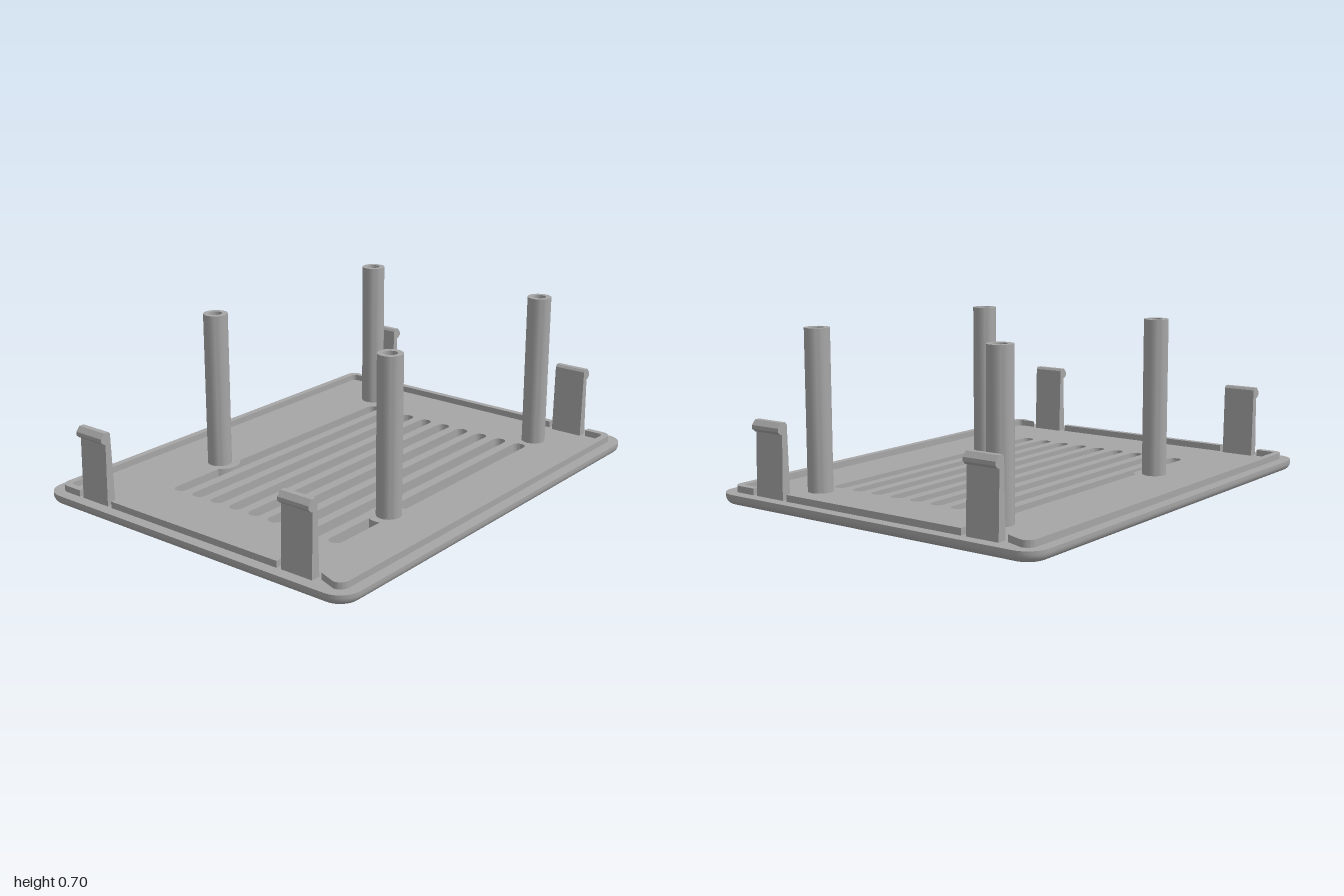
import * as THREE from 'three';
import { toCreasedNormals } from 'three/addons/utils/BufferGeometryUtils.js';

const W = 1, D = 0.778, TOP = 0.045, FILLET = 0.033, CORNER = 0.09;

const plastic = new THREE.MeshStandardMaterial({ color: 0xa6a6a6 });
plastic.name = 'grey plastic';

function part(name, geometry, parent) {
  const mesh = new THREE.Mesh(toCreasedNormals(geometry, 0.6), plastic);
  mesh.name = name;
  parent.add(mesh);
  return mesh;
}

// Counter-clockwise rounded rectangle outline
function roundedLoop(hw, hd, r, steps = 8) {
  const points = [];
  [[1, 1], [-1, 1], [-1, -1], [1, -1]].forEach(([sx, sy], q) => {
    for (let i = 0; i <= steps; i++) {
      const a = (q + i / steps) * Math.PI / 2;
      points.push(new THREE.Vector2(sx * (hw - r) + r * Math.cos(a), sy * (hd - r) + r * Math.sin(a)));
    }
  });
  return points;
}

// Extrude a plan outline (x, -z) upward from y0 to y1
function slab(shape, y0, y1) {
  return new THREE.ExtrudeGeometry(shape, { depth: y1 - y0, bevelEnabled: false, curveSegments: 10 })
    .rotateX(-Math.PI / 2).translate(0, y0, 0);
}

// Plate border with a rounded lower edge
function rimGeometry() {
  const profile = [];
  for (let i = 0; i <= 6; i++) {
    const a = (i / 6) * Math.PI / 2;
    profile.push([FILLET * (1 - Math.sin(a)), FILLET * (1 - Math.cos(a))]);
  }
  profile.push([0, TOP], [FILLET, TOP]);
  const positions = [], index = [];
  let n = 0;
  for (const [inset, y] of profile) {
    const loop = roundedLoop(W - inset, D - inset, CORNER - inset);
    n = loop.length;
    for (const p of loop) positions.push(p.x, y, -p.y);
  }
  for (let k = 0; k < profile.length - 1; k++) {
    for (let i = 0; i < n; i++) {
      const j = (i + 1) % n;
      const a = k * n + i, b = k * n + j, c = b + n, d = a + n;
      index.push(a, b, c, a, c, d);
    }
  }
  const g = new THREE.BufferGeometry();
  g.setAttribute('position', new THREE.Float32BufferAttribute(positions, 3));
  g.setIndex(index);
  return g;
}

// Flat panel with a row of long round-ended slots
function panelGeometry() {
  const shape = new THREE.Shape(roundedLoop(W - FILLET, D - FILLET, CORNER - FILLET));
  const r = 0.029, x0 = -0.665 + r, x1 = 0.66 - r;
  for (let i = 0; i < 9; i++) {
    const y = 0.36 - i * 0.101;
    const slot = new THREE.Path();
    slot.absarc(x1, y, r, -Math.PI / 2, Math.PI / 2, false);
    slot.absarc(x0, y, r, Math.PI / 2, Math.PI * 1.5, false);
    slot.closePath();
    shape.holes.push(slot);
  }
  return slab(shape, 0, TOP);
}

// U-shaped end of the locating lip
function lipEndShape() {
  const xo = 0.953, xi = 0.925, yo = 0.731, yi = 0.702, ye = 0.615, ro = 0.04, ri = 0.02;
  const s = new THREE.Shape();
  s.moveTo(xo, ye);
  s.absarc(xo - ro, yo - ro, ro, 0, Math.PI / 2, false);
  s.absarc(-xo + ro, yo - ro, ro, Math.PI / 2, Math.PI, false);
  s.lineTo(-xo, ye);
  s.lineTo(-xi, ye);
  s.absarc(-xi + ri, yi - ri, ri, Math.PI, Math.PI / 2, true);
  s.absarc(xi - ri, yi - ri, ri, Math.PI / 2, 0, true);
  s.lineTo(xi, ye);
  s.closePath();
  return s;
}

// Hooked snap clip, profile in x/y, extruded along z
function clipGeometry(width) {
  const s = new THREE.Shape([
    [0.912, TOP - 0.005], [0.952, TOP - 0.005], [0.946, 0.303], [0.953, 0.303], [0.967, 0.315],
    [0.967, 0.33], [0.95, 0.35], [0.928, 0.35], [0.92, 0.34],
  ].map(([x, y]) => new THREE.Vector2(x, y)));
  return new THREE.ExtrudeGeometry(s, { depth: width, bevelEnabled: false }).translate(0, 0, -width / 2);
}

// Hollow screw post, open at the top
function postGeometry() {
  const R = 0.051, r = 0.028, H = 0.7;
  const pts = [[R, TOP - 0.005], [R, H], [r, H], [r, TOP + 0.001], [0, TOP + 0.001]];
  return new THREE.LatheGeometry(pts.map(([x, y]) => new THREE.Vector2(x, y)), 28);
}

export function createModel() {
  const model = new THREE.Group();
  model.name = 'ventCover';

  // Base plate
  const plate = new THREE.Group();
  plate.name = 'basePlate';
  model.add(plate);
  part('plateRim', rimGeometry(), plate);
  part('slottedPanel', panelGeometry(), plate);

  // Locating lip: two U-shaped ends and two side bars, broken at the clips
  const lip = new THREE.Group();
  lip.name = 'locatingLip';
  model.add(lip);
  for (const turn of [0, Math.PI]) {
    part('lipEnd', slab(lipEndShape(), TOP - 0.003, 0.072), lip).rotation.y = turn;
    const bar = new THREE.BoxGeometry(0.028, 0.03, 0.862).translate(0.939, 0.057, 0);
    part('lipSideBar', bar, lip).rotation.y = turn;
  }

  // Four snap clips with hooks facing outward
  for (const turn of [0, Math.PI]) {
    for (const z of [-0.524, 0.524]) {
      const clip = part('snapClip', clipGeometry(0.143), model);
      clip.rotation.y = turn;
      clip.position.z = z;
    }
  }

  // Four screw posts; the two over the slots stand on round pads
  for (const z of [-0.443, 0.458]) {
    for (const x of [-0.325, 0.74]) {
      part('screwPost', postGeometry(), model).position.set(x, 0, z);
    }
    const pad = new THREE.CylinderGeometry(0.086, 0.086, TOP - 0.001, 32);
    part('postPad', pad, model).position.set(-0.325, TOP / 2, z);
  }
  return model;
}
